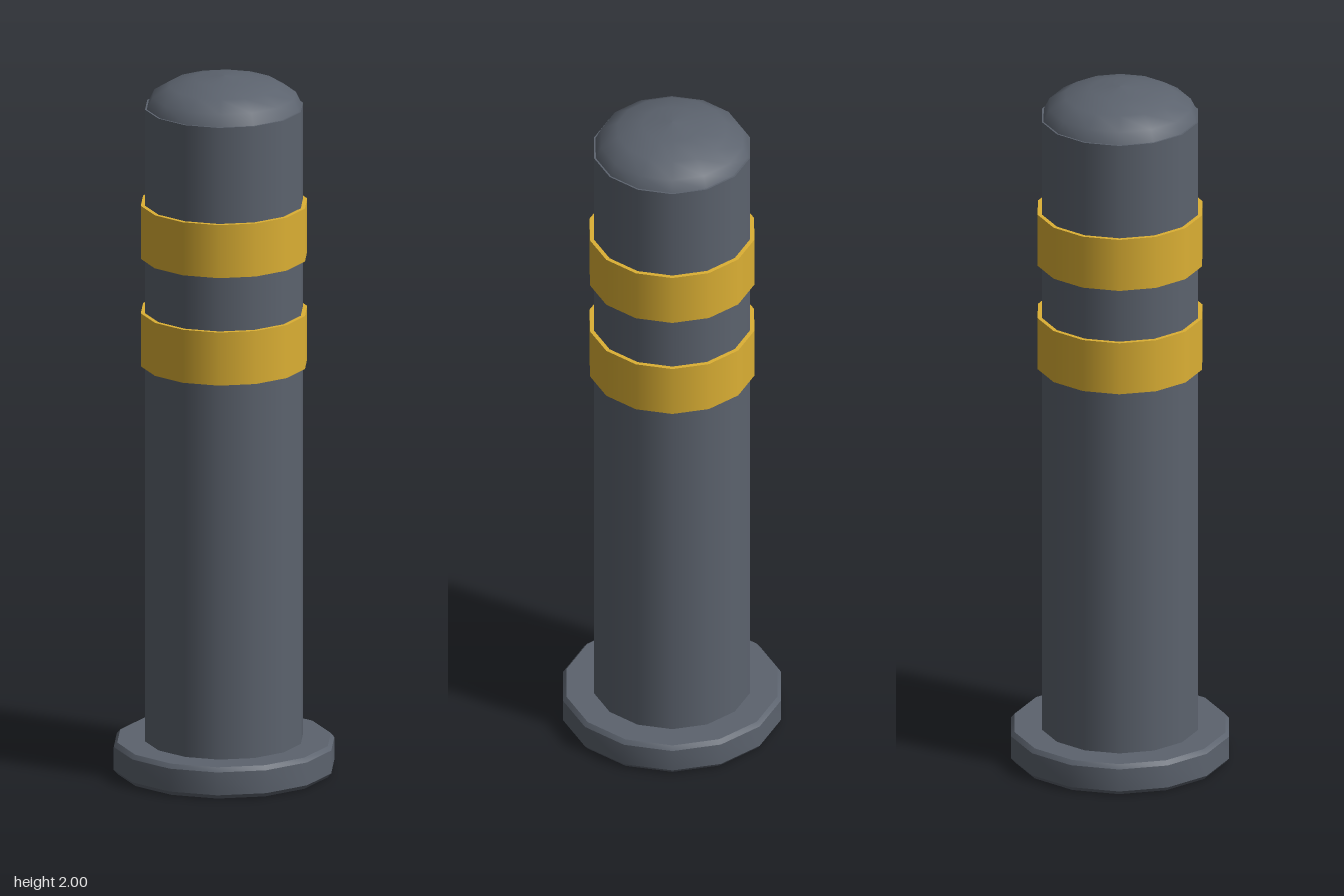
import * as THREE from 'three';
import { toCreasedNormals } from 'three/addons/utils/BufferGeometryUtils.js';

const SIDES = 14;
const START = Math.PI / 2; // puts a corner on the x axis

export function createModel() {
  const group = new THREE.Group();
  const grey = new THREE.MeshStandardMaterial({ color: 0x5c636e });
  const yellow = new THREE.MeshStandardMaterial({ color: 0xdcb034 });

  const add = (name, geometry, material) => {
    const mesh = new THREE.Mesh(geometry, material);
    mesh.name = name;
    group.add(mesh);
  };
  const lathe = (points) => new THREE.LatheGeometry(
    points.map(([r, y]) => new THREE.Vector2(r, y)), SIDES, START);
  const drum = (radius, bottom, top) => new THREE.CylinderGeometry(
    radius, radius, top - bottom, SIDES, 1, false, START).translate(0, (bottom + top) / 2, 0);

  // Foot plate with small bevels
  add('basePlate', toCreasedNormals(lathe([
    [0, 0], [0.3, 0], [0.31, 0.012], [0.31, 0.078], [0.3, 0.09], [0, 0.09],
  ]), 0.6), grey);

  // Upright post
  add('post', drum(0.222, 0.08, 1.912), grey);

  // Shallow dome cap, a quarter ellipse turned round the axis
  const dome = [];
  for (let i = 0; i <= 4; i++) {
    const a = (i / 4) * Math.PI / 2;
    dome.push([i === 4 ? 0 : 0.218 * Math.cos(a), 1.91 + 0.09 * Math.sin(a)]);
  }
  add('domeCap', lathe(dome), grey);

  // Two raised warning bands
  add('lowerBand', drum(0.234, 1.172, 1.325), yellow);
  add('upperBand', drum(0.234, 1.482, 1.635), yellow);

  return group;
}
